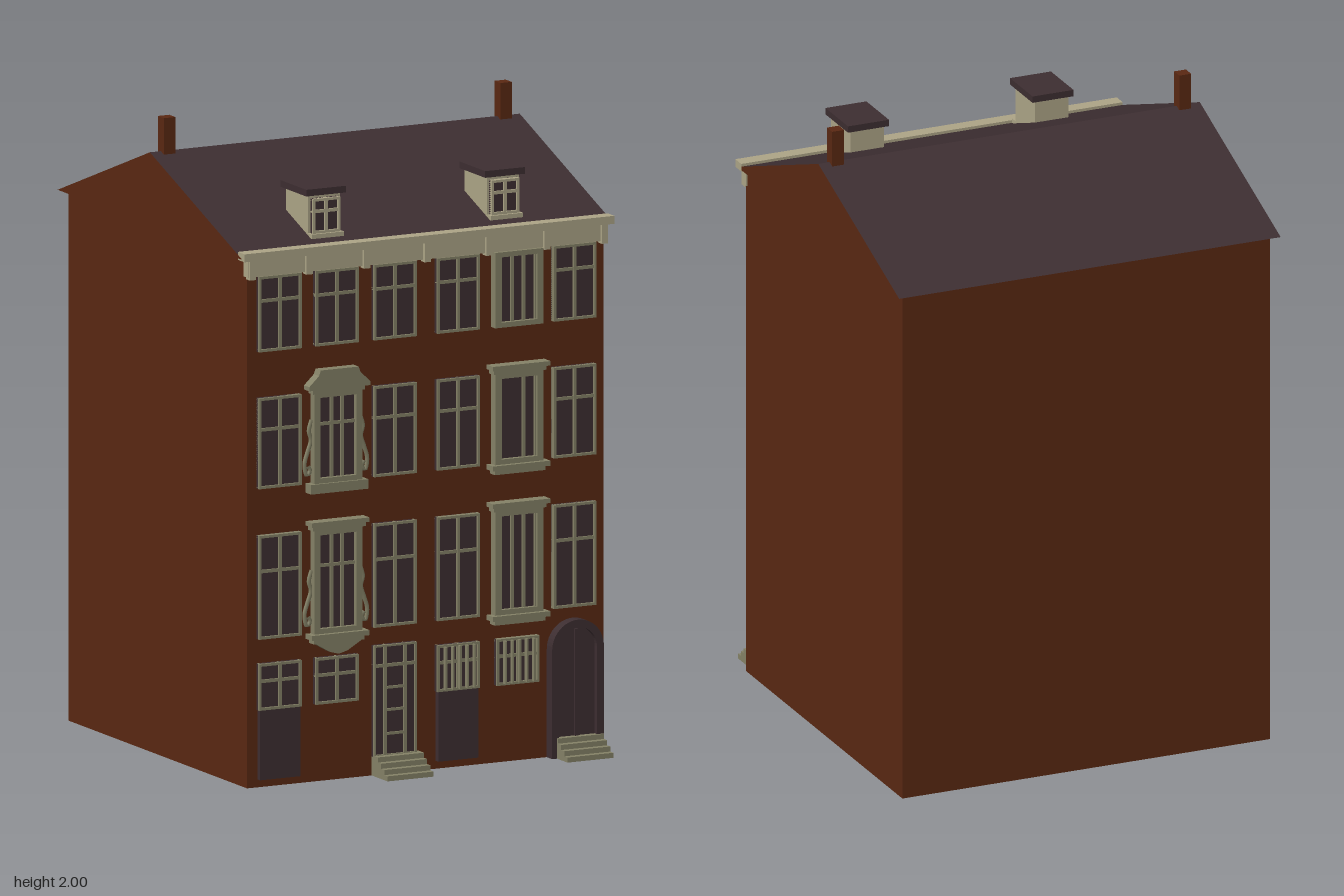
import * as THREE from 'three';

const paint = (name, color) => {
  const m = new THREE.MeshStandardMaterial({ color });
  m.name = name;
  return m;
};

export function createModel() {
  const brick = paint('brick', 0x5a2812);
  const slate = paint('slate', 0x3d2e31);
  const cream = paint('cream', 0xada587);
  const stone = paint('stone', 0x858267);

  const house = new THREE.Group();
  house.name = 'townhouse';
  house.rotation.y = THREE.MathUtils.degToRad(23.6);

  const W = 1.24, F = 0.5925, EAVE = 1.665, RIDGE = 1.893;

  const add = (parent, name, geo, mat) => {
    const mesh = new THREE.Mesh(geo, mat);
    mesh.name = name;
    parent.add(mesh);
    return mesh;
  };
  // Box given by its limits on each axis
  const box = (parent, name, mat, x0, x1, y0, y1, z0, z1) => {
    const mesh = add(parent, name, new THREE.BoxGeometry(x1 - x0, y1 - y0, z1 - z0), mat);
    mesh.position.set((x0 + x1) / 2, (y0 + y1) / 2, (z0 + z1) / 2);
    return mesh;
  };
  const group = (name) => {
    const g = new THREE.Group();
    g.name = name;
    house.add(g);
    return g;
  };
  const polygon = (pts) => new THREE.Shape(pts.map(([x, y]) => new THREE.Vector2(x, y)));
  // Flat outline standing on the facade
  const relief = (parent, name, mat, shape, depth, z = F) => {
    const geo = new THREE.ExtrudeGeometry(shape, { depth, bevelEnabled: false, curveSegments: 12 });
    geo.translate(0, 0, z);
    return add(parent, name, geo, mat);
  };

  // Walls and overhanging roof prism with brick gable ends
  box(house, 'walls', brick, -W / 2, W / 2, 0, EAVE, -F, F);
  const roof = new THREE.ExtrudeGeometry(
    polygon([[-0.605, EAVE], [0.62, EAVE], [0.008, RIDGE]]), { depth: 1.286, bevelEnabled: false });
  roof.rotateY(Math.PI / 2);
  roof.translate(-0.643, 0, 0);
  add(house, 'roof', roof, [brick, slate]);
  for (const s of [-1, 1]) box(house, 'chimney', brick, s * 0.585 - 0.02, s * 0.585 + 0.02, 1.84, 2, -0.028, 0.012);

  // Cornice with brackets
  const cornice = group('cornice');
  box(cornice, 'corniceTop', cream, -0.643, 0.643, 1.66, 1.685, 0.575, 0.62);
  box(cornice, 'corniceBoard', cream, -0.625, 0.625, 1.607, 1.66, 0.58, 0.607);
  for (const x of [-0.612, -0.415, -0.215, -0.004, 0.21, 0.412, 0.612])
    box(cornice, 'corniceBracket', cream, x - 0.011, x + 0.011, 1.6, 1.662, F, 0.617);

  // Window: dark pane, border, upright bars and an optional transom
  const windowAt = (cx, y0, y1, { w = 0.148, transom, bars = [0], z = F, mat = stone, border = 0.008 } = {}) => {
    const g = group('window');
    const h = w / 2;
    box(g, 'pane', slate, cx - h, cx + h, y0, y1, z, z + 0.012);
    for (const s of [-1, 1]) {
      const x = cx + s * (h - border / 2);
      box(g, 'sideFrame', mat, x - border / 2, x + border / 2, y0, y1, z, z + 0.02);
    }
    box(g, 'bottomFrame', mat, cx - h, cx + h, y0, y0 + border, z, z + 0.02);
    box(g, 'topFrame', mat, cx - h, cx + h, y1 - border, y1, z, z + 0.02);
    for (const b of bars) box(g, 'mullion', mat, cx + b - 0.005, cx + b + 0.005, y0, y1, z, z + 0.019);
    if (transom) box(g, 'transom', mat, cx - h, cx + h, transom - 0.005, transom + 0.005, z, z + 0.018);
    return g;
  };

  const cols = [-0.514, -0.316, -0.114, 0.106, 0.313, 0.511];
  const rows = [[0.467, 0.793, 0.68], [0.94, 1.225, 1.125], [1.37, 1.607, 1.53]];
  rows.forEach(([y0, y1, transom], r) => cols.forEach((cx, c) => {
    if (c === 4) {
      windowAt(cx, y0, y1, { w: 0.13, bars: r === 1 ? [0.02] : [-0.02, 0.02] });
    } else {
      windowAt(cx, y0, y1, { transom, bars: c === 1 && r < 2 ? [-0.018, 0.018] : [0] });
    }
  }));

  // Stone surround, lintel and sill
  const surround = (cx, y0, y1, ledges) => {
    const g = group('windowSurround');
    const shape = polygon([[cx - 0.084, y0], [cx + 0.084, y0], [cx + 0.084, y1], [cx - 0.084, y1]]);
    shape.holes.push(polygon([[cx - 0.062, y0 + 0.016], [cx - 0.062, y1 - 0.016],
      [cx + 0.062, y1 - 0.016], [cx + 0.062, y0 + 0.016]]));
    relief(g, 'surround', stone, shape, 0.027);
    if (ledges) {
      box(g, 'lintel', stone, cx - 0.092, cx + 0.092, y1, y1 + 0.016, F, F + 0.032);
      box(g, 'lintelTop', stone, cx - 0.1, cx + 0.1, y1 + 0.014, y1 + 0.028, F, F + 0.042);
      box(g, 'sill', stone, cx - 0.1, cx + 0.1, y0 - 0.016, y0, F, F + 0.042);
      box(g, 'sillBase', stone, cx - 0.088, cx + 0.088, y0 - 0.03, y0 - 0.014, F, F + 0.032);
    }
    return g;
  };
  rows.forEach(([y0, y1], r) => surround(cols[4], y0, y1, r < 2));

  // Ornate bay of the second column, with scrolls on both sides
  const bx = cols[1];
  rows.slice(0, 2).forEach(([y0, y1], r) => {
    const g = surround(bx, y0, y1, r === 0);
    for (const s of [-1, 1]) {
      const path = [[0.084, 0.2], [0.094, 0.165], [0.087, 0.135], [0.098, 0.1], [0.109, 0.06], [0.101, 0.025], [0.09, 0.04], [0.098, 0.055]];
      const curve = new THREE.CatmullRomCurve3(path.map(([x, y]) => new THREE.Vector3(bx + s * x, y0 + y, F + 0.008)));
      add(g, 'scroll', new THREE.TubeGeometry(curve, 28, 0.007, 5), stone);
    }
  });
  const crown = group('crown');
  relief(crown, 'pediment', stone, polygon([[bx - 0.106, 1.235], [bx + 0.106, 1.235], [bx + 0.106, 1.248],
    [bx + 0.072, 1.28], [bx + 0.066, 1.297], [bx - 0.066, 1.297], [bx - 0.072, 1.28], [bx - 0.106, 1.248]]), 0.035);
  box(crown, 'pedimentBase', stone, bx - 0.09, bx + 0.09, 1.222, 1.236, F, F + 0.03);
  box(crown, 'sill', stone, bx - 0.1, bx + 0.1, 0.91, 0.94, F, F + 0.035);
  relief(crown, 'apron', stone, polygon([[bx - 0.085, 0.44], [bx - 0.03, 0.408], [bx, 0.4],
    [bx + 0.03, 0.408], [bx + 0.085, 0.44]]), 0.03);

  // Ground floor windows, two of them with grilles
  const grille = [-0.05, -0.025, 0, 0.025, 0.05];
  windowAt(cols[0], 0.244, 0.39, { transom: 0.335 });
  windowAt(cols[1], 0.244, 0.39, { transom: 0.335 });
  windowAt(cols[3], 0.244, 0.39, { transom: 0.335 });
  windowAt(cols[4], 0.244, 0.39, { transom: 0.335 });
  for (const c of [3, 4]) {
    const g = group('grille');
    for (const b of grille) box(g, 'grilleBar', stone, cols[c] + b - 0.003, cols[c] + b + 0.003, 0.25, 0.385, F + 0.02, F + 0.034);
  }

  // Plain doors below the windows
  for (const c of [0, 3]) box(house, 'plainDoor', slate, cols[c] - 0.07, cols[c] + 0.07, 0.025, 0.25, F, F + 0.018);

  // Glazed door
  const door = windowAt(cols[2], 0.06, 0.41, { bars: [-0.035, 0.035], transom: 0.345, border: 0.006 });
  door.name = 'glazedDoor';
  for (const y of [0.13, 0.205, 0.275])
    box(door, 'doorRail', stone, cols[2] - 0.035, cols[2] + 0.035, y - 0.004, y + 0.004, F, F + 0.018);

  // Arched door: outer frame, inner leaves and centre strip
  const ax = 0.512;
  const arch = (Type, r, y0) => {
    const s = new Type();
    s.moveTo(ax - r, y0);
    s.lineTo(ax + r, y0);
    s.lineTo(ax + r, 0.34);
    s.absarc(ax, 0.34, r, 0, Math.PI, false);
    s.closePath();
    return s;
  };
  const archDoor = group('archedDoor');
  const frame = arch(THREE.Shape, 0.09, 0.0);
  frame.holes.push(arch(THREE.Path, 0.066, 0.02));
  relief(archDoor, 'archFrame', slate, frame, 0.036);
  relief(archDoor, 'archLeaves', slate, arch(THREE.Shape, 0.067, 0.02), 0.02);
  box(archDoor, 'archStrip', slate, ax - 0.006, ax + 0.006, 0.06, 0.4, F, F + 0.028);

  // Front steps
  for (const cx of [-0.107, 0.519]) {
    const g = group('steps');
    for (let i = 0; i < 4; i++)
      box(g, 'step', stone, cx - 0.08, cx + 0.08, i * 0.016, (i + 1) * 0.016, F - 0.005, 0.698 - i * 0.021);
  }

  // Dormers
  for (const cx of [-0.31, 0.312]) {
    const g = group('dormer');
    box(g, 'dormerBody', cream, cx - 0.056, cx + 0.056, 1.69, 1.826, 0.365, 0.512);
    box(g, 'dormerCap', slate, cx - 0.069, cx + 0.069, 1.825, 1.846, 0.355, 0.526);
    box(g, 'dormerSill', cream, cx - 0.056, cx + 0.056, 1.692, 1.706, 0.5, 0.538);
    windowAt(cx, 1.706, 1.815, { w: 0.096, transom: 1.775, z: 0.51, mat: cream });
  }

  const model = new THREE.Group();
  model.name = 'model';
  model.add(house);
  return model;
}
